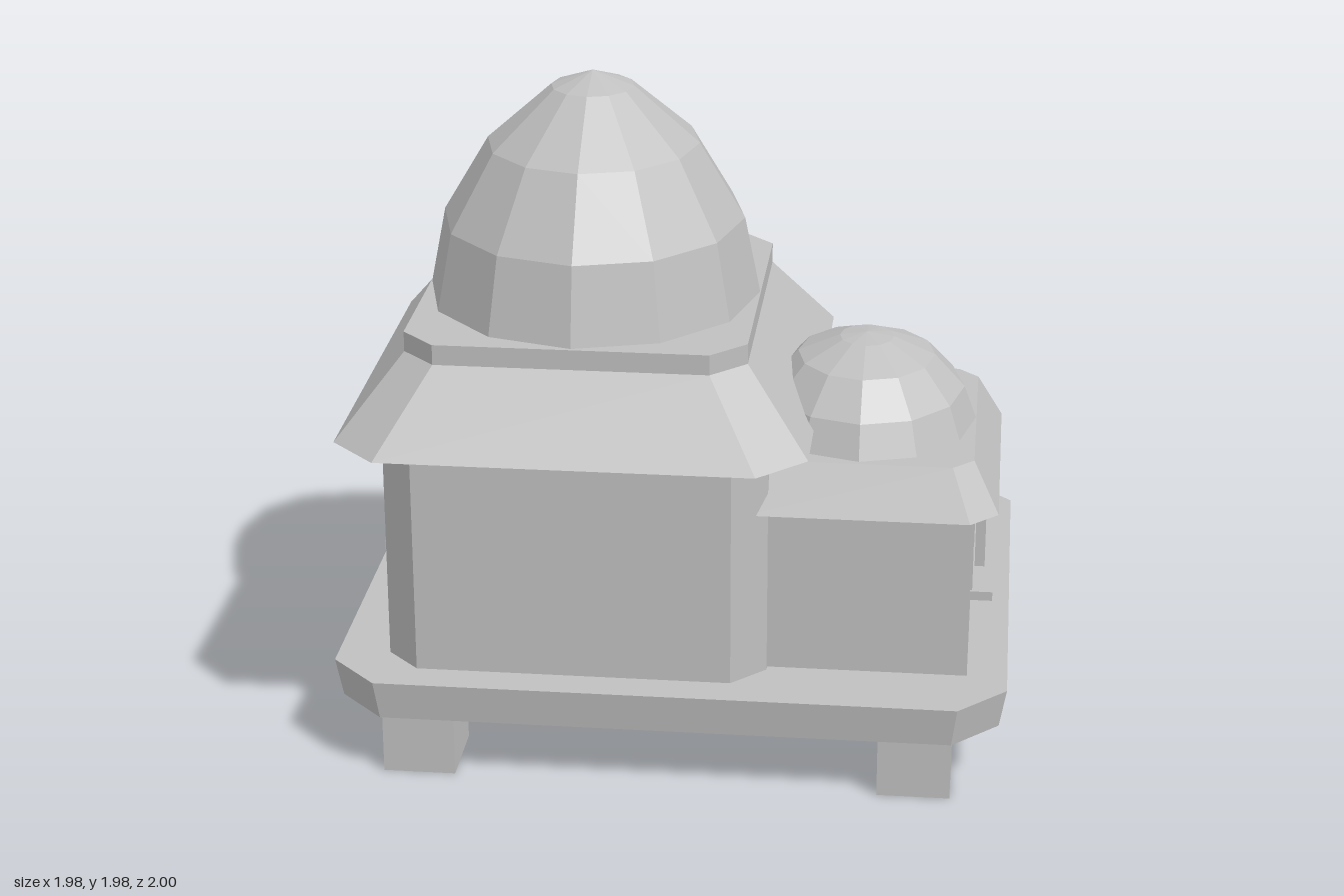
import * as THREE from 'three';
import { ConvexGeometry } from 'three/addons/geometries/ConvexGeometry.js';

const stone = new THREE.MeshStandardMaterial({ color: 0xc0c0c0, flatShading: true });
stone.name = 'stone grey';

function add(parent, name, geometry, x = 0, y = 0, z = 0) {
  const mesh = new THREE.Mesh(geometry, stone);
  mesh.name = name;
  mesh.position.set(x, y, z);
  parent.add(mesh);
  return mesh;
}

// Box given by its minimum and maximum corners
function block(parent, name, [x0, y0, z0], [x1, y1, z1]) {
  return add(parent, name, new THREE.BoxGeometry(x1 - x0, y1 - y0, z1 - z0),
    (x0 + x1) / 2, (y0 + y1) / 2, (z0 + z1) / 2);
}

// Rectangle with cut corners at height y
function octagon(y, hx, hz, cut) {
  const points = [];
  for (const sx of [-1, 1]) for (const sz of [-1, 1]) {
    points.push(new THREE.Vector3(sx * (hx - cut), y, sz * hz));
    points.push(new THREE.Vector3(sx * hx, y, sz * (hz - cut)));
  }
  return points;
}

// Solid between two cut-corner rectangles, each [y, halfX, halfZ, cut]
function frustum(parent, name, x, z, low, high) {
  return add(parent, name, new ConvexGeometry([...octagon(...low), ...octagon(...high)]), x, 0, z);
}

function turned(profile, sides) {
  return new THREE.LatheGeometry(profile.map(([r, y]) => new THREE.Vector2(r, y)), sides);
}

// Window facing local +z, standing on its sill
function addWindow(parent, name, x, y, z, turn) {
  const win = new THREE.Group();
  win.name = name;
  win.position.set(x, y, z);
  win.rotation.y = turn;
  parent.add(win);
  block(win, 'sill', [-0.195, 0, 0], [0.195, 0.028, 0.066]);
  block(win, 'frameTop', [-0.185, 0.23, 0], [0.185, 0.26, 0.006]);
  for (const s of [-1, 1]) {
    add(win, 'frameSide', new THREE.BoxGeometry(0.032, 0.202, 0.006), s * 0.169, 0.129, 0.003);
  }
  block(win, 'centreBar', [-0.015, 0.028, 0.01], [0.015, 0.24, 0.04]);
}

// Arched outline with slanted shoulders
function arch(ShapeType, half, spring, top, flat) {
  return new ShapeType([[-half, 0], [half, 0], [half, spring], [flat, top], [-flat, top], [-half, spring]]
    .map(([x, y]) => new THREE.Vector2(x, y)));
}

export function createModel() {
  const house = new THREE.Group();
  house.name = 'domedHouse';

  // Raised platform on four feet
  frustum(house, 'platform', 0, 0.145, [0.19, 0.968, 0.807, 0.135], [0.31, 0.988, 0.825, 0.14]);
  for (const x of [-0.727, 0.727]) for (const z of [-0.46, 0.805]) {
    add(house, 'foot', new THREE.BoxGeometry(0.212, 0.19, 0.235), x, 0.095, z);
  }

  // Stairs at the entrance
  for (let i = 0; i < 4; i++) {
    const z = -1 + i * 0.08;
    block(house, 'stair', [-0.623, 0, z], [-0.127, 0.078 * (i + 1) - 0.001, z + 0.08]);
  }

  // Main hall
  const mx = -0.275, mz = 0.275;
  frustum(house, 'hallWalls', mx, mz, [0.31, 0.56, 0.588, 0.098], [1.03, 0.56, 0.588, 0.098]);
  frustum(house, 'hallRoof', mx, mz, [1.02, 0.68, 0.725, 0.138], [1.25, 0.495, 0.54, 0.1]);
  frustum(house, 'domeRim', mx, mz, [1.25, 0.495, 0.54, 0.1], [1.31, 0.495, 0.54, 0.1]);
  const bigDome = add(house, 'hallDome', turned(
    [[0.493, 1.31], [0.447, 1.54], [0.313, 1.765], [0.122, 1.932], [0, 1.977]], 12), mx, 0, mz);
  bigDome.scale.z = 1.075;

  // Side annex
  const ax = 0.54, az = 0.33;
  add(house, 'annexWalls', new THREE.BoxGeometry(0.66, 0.52, 0.83), ax, 0.57, az);
  frustum(house, 'annexRoof', ax, az, [0.815, 0.405, 0.467, 0.08], [0.957, 0.33, 0.39, 0.06]);
  const smallDome = add(house, 'annexDome', turned(
    [[0.328, 0.957], [0.292, 1.055], [0.203, 1.152], [0.08, 1.205], [0, 1.217]], 12), ax, 0, az);
  smallDome.scale.z = 1.14;

  // Windows
  addWindow(house, 'annexSideWindow', 0.87, 0.45, az, Math.PI / 2);
  addWindow(house, 'annexBackWindow', ax, 0.45, -0.085, Math.PI);
  addWindow(house, 'hallSideWindow', -0.835, 0.505, mz, -Math.PI / 2);

  // Entrance, built facing local +z and turned to the back
  const entrance = new THREE.Group();
  entrance.name = 'entrance';
  entrance.position.set(-0.37, 0.31, -0.313);
  entrance.rotation.y = Math.PI;
  house.add(entrance);
  const frame = arch(THREE.Shape, 0.215, 0.29, 0.455, 0.085);
  frame.holes.push(arch(THREE.Path, 0.155, 0.27, 0.4, 0.06));
  frame.holes[0].curves.length && add(entrance, 'doorFrame',
    new THREE.ExtrudeGeometry(frame, { depth: 0.009, bevelEnabled: false }));
  add(entrance, 'door', new THREE.ExtrudeGeometry(arch(THREE.Shape, 0.155, 0.27, 0.4, 0.06),
    { depth: 0.003, bevelEnabled: false }));
  block(entrance, 'doorKnob', [-0.125, 0.2, 0.003], [-0.093, 0.232, 0.045]);
  block(entrance, 'plaqueWide', [-0.17, 0.575, 0], [0.17, 0.63, 0.008]);
  block(entrance, 'plaqueTall', [-0.1, 0.535, 0], [0.1, 0.665, 0.009]);
  const disc = add(entrance, 'ornamentDisc', new THREE.CylinderGeometry(0.053, 0.053, 0.045, 8), 0, 0.593, 0.027);
  const boss = add(entrance, 'ornamentBoss', new THREE.CylinderGeometry(0.018, 0.03, 0.025, 8), 0, 0.593, 0.062);
  disc.rotation.x = boss.rotation.x = Math.PI / 2;

  // Open pot beside the stairs
  add(house, 'pot', turned([[0, 0.31], [0.046, 0.31], [0.09, 0.42], [0.068, 0.477],
    [0.054, 0.477], [0.06, 0.42], [0, 0.4]], 8), -0.71, 0, -0.492);

  // Lantern post
  const lx = 0.75, lz = -0.44;
  block(house, 'lanternPost', [lx - 0.052, 0.31, lz - 0.052], [lx + 0.052, 0.435, lz + 0.052]);
  const lantern = add(house, 'lantern', turned([[0, 0.43], [0.058, 0.43], [0.076, 0.53],
    [0.094, 0.532], [0.092, 0.545], [0.055, 0.567], [0, 0.567]], 6), lx, 0, lz);
  lantern.rotation.y = Math.PI / 2;

  return house;
}
